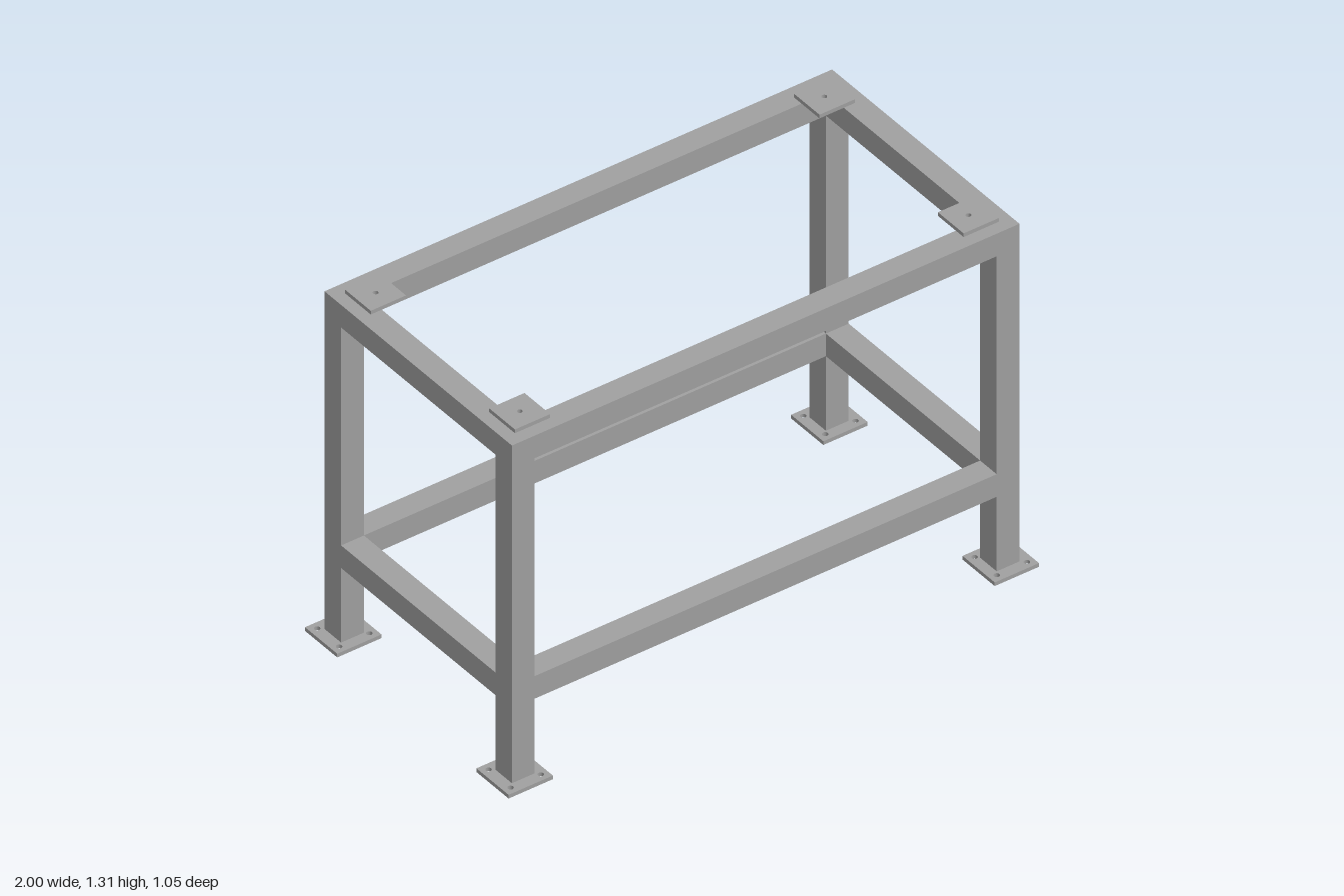
import * as THREE from 'three';

const TUBE = 0.086;              // square tube width
const LEG_X = 0.914, LEG_Z = 0.442; // leg centre lines
const HEIGHT = 1.3, PLATE = 0.014;

// Flat square plate with round bolt holes, lying with its underside on y = 0
function plateGeometry(size, holes, radius) {
  const h = size / 2;
  const shape = new THREE.Shape();
  shape.moveTo(-h, -h).lineTo(h, -h).lineTo(h, h).lineTo(-h, h).closePath();
  for (const [x, y] of holes) {
    const hole = new THREE.Path();
    hole.absarc(x, y, radius, 0, Math.PI * 2, true);
    shape.holes.push(hole);
  }
  const geo = new THREE.ExtrudeGeometry(shape, { depth: PLATE, bevelEnabled: false, curveSegments: 12 });
  return geo.rotateX(-Math.PI / 2);
}

export function createModel() {
  const model = new THREE.Group();
  model.name = 'tableFrame';
  const steel = new THREE.MeshStandardMaterial({ color: 0xa0a0a0 });
  steel.name = 'steelGrey';

  function add(name, geometry, x, y, z) {
    const mesh = new THREE.Mesh(geometry, steel);
    mesh.name = name;
    mesh.position.set(x, y, z);
    model.add(mesh);
  }

  const legGeo = new THREE.BoxGeometry(TUBE, HEIGHT - PLATE, TUBE);
  const b = 0.057;
  const footGeo = plateGeometry(0.167, [[-b, -b], [b, -b], [b, b], [-b, b]], 0.01);
  const padGeo = plateGeometry(0.133, [[0, 0]], 0.009);

  // Corners: leg, foot plate and top mounting pad
  for (const [sx, xName] of [[1, 'Left'], [-1, 'Right']]) {
    for (const [sz, zName] of [[1, 'front'], [-1, 'back']]) {
      const corner = zName + xName;
      add(corner + 'Leg', legGeo, sx * LEG_X, (HEIGHT + PLATE) / 2, sz * LEG_Z);
      add(corner + 'FootPlate', footGeo, sx * 0.9165, 0, sz * 0.4435);
      add(corner + 'MountingPad', padGeo, sx * 0.846, HEIGHT, sz * 0.373);
    }
  }

  // Upper and lower rails fitted between the legs
  const longRail = new THREE.BoxGeometry(2 * LEG_X - TUBE, TUBE, TUBE);
  const sideRail = new THREE.BoxGeometry(TUBE, TUBE, 2 * LEG_Z - TUBE);
  for (const [y, level] of [[HEIGHT - TUBE / 2, 'upper'], [0.341, 'lower']]) {
    for (const s of [1, -1]) {
      add(level + (s > 0 ? 'FrontRail' : 'BackRail'), longRail, 0, y, s * LEG_Z);
      add(level + (s > 0 ? 'LeftRail' : 'RightRail'), sideRail, s * LEG_X, y, 0);
    }
  }
  return model;
}
